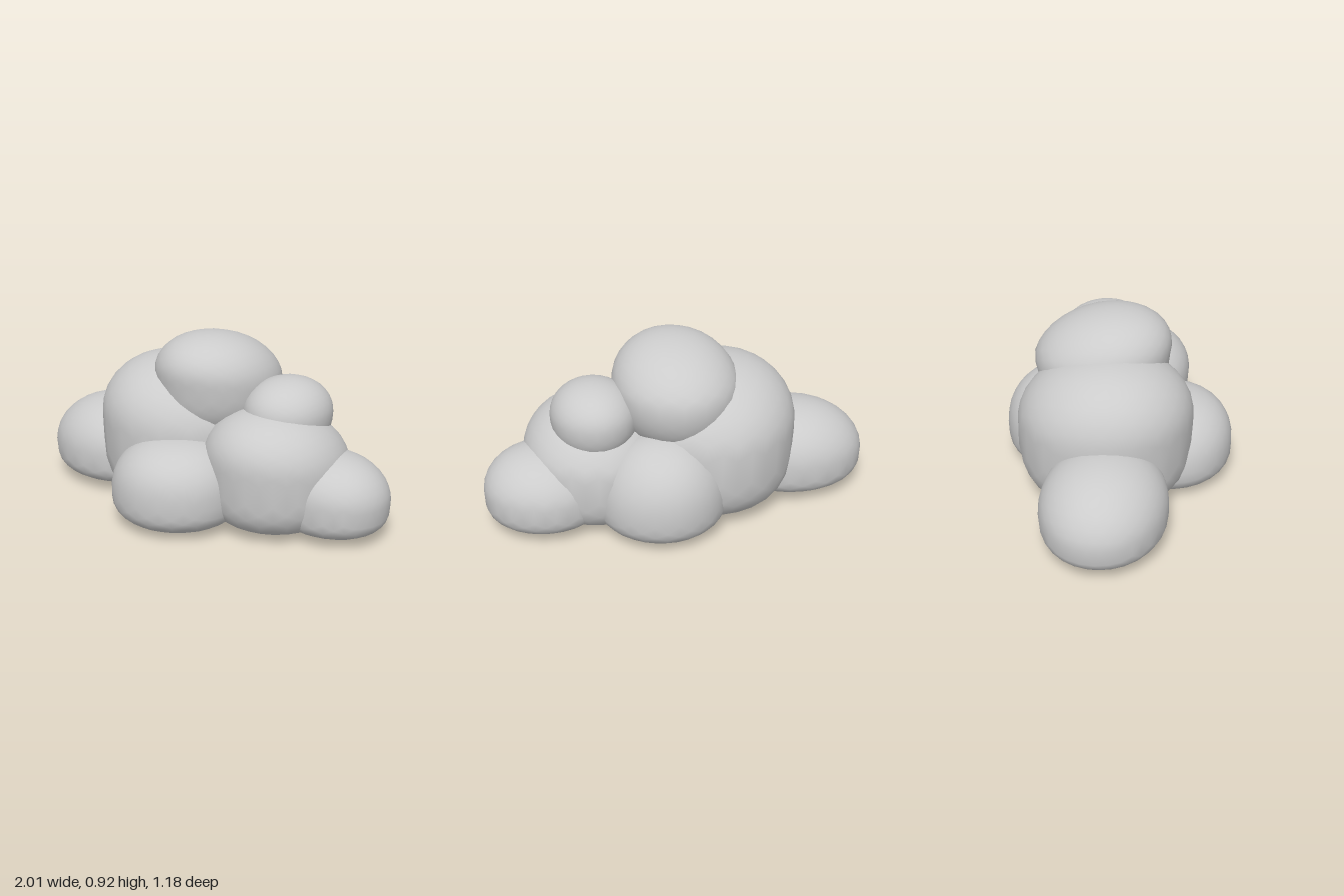
import * as THREE from 'three';
import { mergeVertices } from 'three/addons/utils/BufferGeometryUtils.js';

const material = new THREE.MeshStandardMaterial({ color: 0xcccccc });

// Height of a rounded profile at horizontal radius r; a higher power is boxier.
const profile = (r, power) => Math.pow(Math.max(0, 1 - Math.pow(r, power)), 1 / power);

// A puff: domed above its widest level, flattened below it, optionally leaning and turned.
function puff({ name, at, radius, mid, top, bottom, lean = [0, 0], yaw = 0, over = 2.05, under = 3.5 }) {
  let geo = new THREE.IcosahedronGeometry(1, 5);
  geo.deleteAttribute('uv');
  geo.deleteAttribute('normal');
  geo = mergeVertices(geo, 1e-4);
  const pos = geo.attributes.position;
  const c = Math.cos(yaw), s = Math.sin(yaw);
  for (let i = 0; i < pos.count; i++) {
    const nx = pos.getX(i), ny = pos.getY(i), nz = pos.getZ(i);
    const r = Math.min(1, Math.hypot(nx, nz));
    const y = ny >= 0 ? (top - mid) * profile(r, over) : -(mid - bottom) * profile(r, under);
    const x = nx * radius[0], z = nz * radius[1];
    const up = Math.max(0, ny);
    pos.setXYZ(i,
      at[0] + x * c + z * s + lean[0] * up,
      mid + y,
      at[1] - x * s + z * c + lean[1] * up);
  }
  geo.computeVertexNormals();
  const mesh = new THREE.Mesh(geo, material);
  mesh.name = name;
  return mesh;
}

export function createModel() {
  const cloud = new THREE.Group();
  cloud.name = 'cloud';
  const puffs = [
    // Large body puffs
    { name: 'mainPuff', at: [-0.17, -0.055], radius: [0.43, 0.44], mid: 0.42, top: 0.775, bottom: 0.01, lean: [-0.05, 0.03] },
    { name: 'leftBodyPuff', at: [0.425, -0.01], radius: [0.36, 0.37], mid: 0.33, top: 0.615, bottom: 0.01, lean: [0, 0.06] },
    // Crown puffs
    { name: 'topPuff', at: [0.02, -0.08], radius: [0.315, 0.34], mid: 0.68, top: 0.92, bottom: 0.36, lean: [0, 0.08], under: 2.2 },
    { name: 'smallTopPuff', at: [0.44, -0.08], radius: [0.215, 0.24], mid: 0.57, top: 0.745, bottom: 0.36, under: 2.2 },
    // Low puffs around the base
    { name: 'rightEndPuff', at: [-0.63, -0.035], radius: [0.375, 0.31], mid: 0.2, top: 0.465, bottom: 0.025, lean: [0.02, 0], yaw: -0.15 },
    { name: 'leftEndPuff', at: [0.7, -0.08], radius: [0.305, 0.27], mid: 0.2, top: 0.42, bottom: 0.025, lean: [0, 0.02], yaw: -0.2 },
    { name: 'frontPuff', at: [0.015, 0.26], radius: [0.335, 0.33], mid: 0.17, top: 0.45, bottom: 0, lean: [0.02, 0.02], over: 2.3, under: 2.8 },
    { name: 'backPuff', at: [0.15, -0.26], radius: [0.33, 0.33], mid: 0.17, top: 0.51, bottom: 0, lean: [0, -0.03], under: 2.8 },
  ];
  for (const p of puffs) cloud.add(puff(p));
  return cloud;
}
